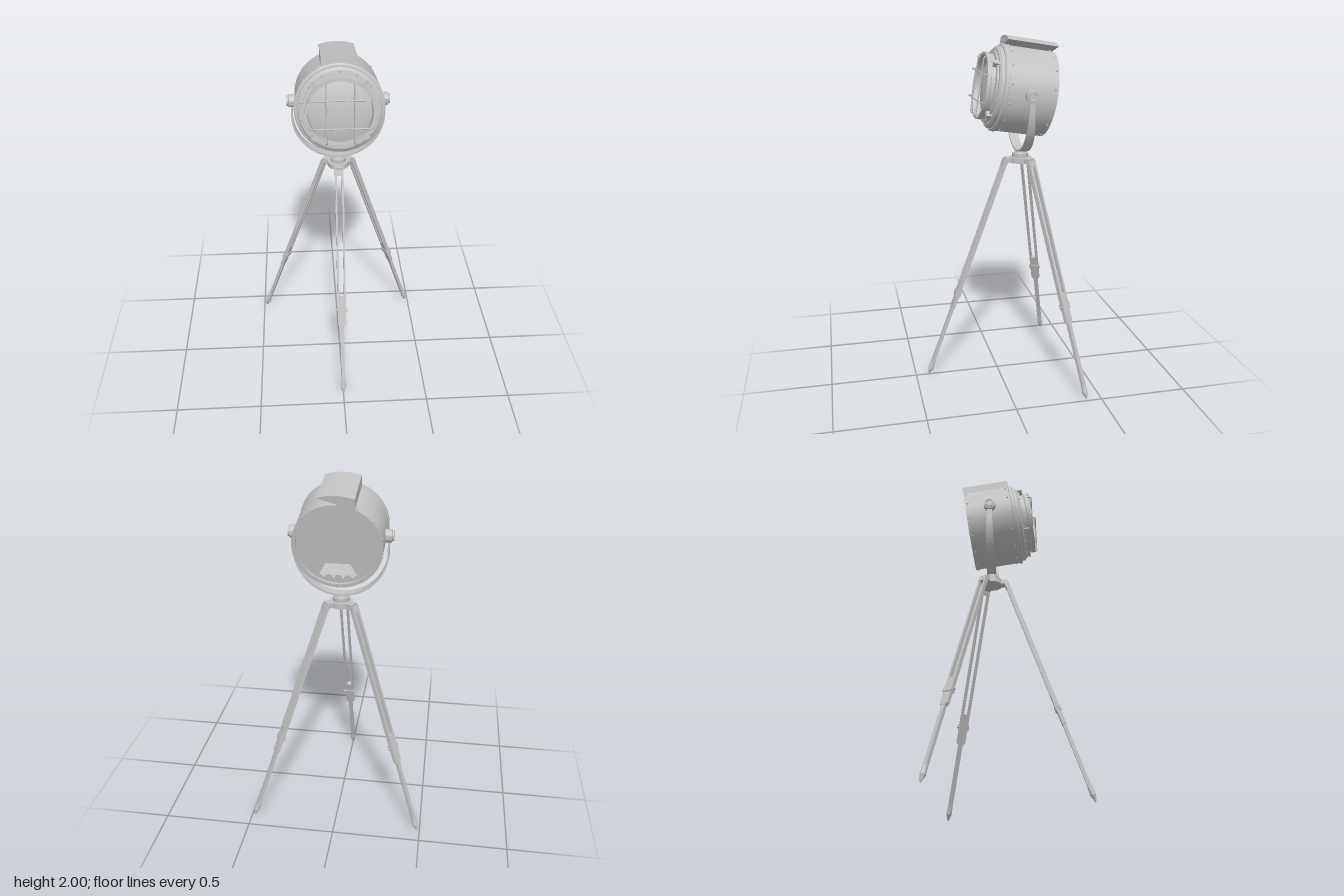
import * as THREE from 'three';
import { toCreasedNormals } from 'three/addons/utils/BufferGeometryUtils.js';

const metal = new THREE.MeshStandardMaterial({ color: 0xc2c2c2, side: THREE.DoubleSide });
metal.name = 'grey metal';

const HUB_Z = -0.135; // vertical axis of the stand

function add(parent, name, geometry, x = 0, y = 0, z = 0) {
  const mesh = new THREE.Mesh(geometry, metal);
  mesh.name = name;
  mesh.position.set(x, y, z);
  parent.add(mesh);
  return mesh;
}

// Lathe whose axis points along +z; points are [radius, z]
function latheZ(points, segments = 64) {
  const g = new THREE.LatheGeometry(points.map(p => new THREE.Vector2(...p)), segments);
  return toCreasedNormals(g.rotateX(Math.PI / 2), 0.5);
}

function createLeg() {
  const leg = new THREE.Group();
  leg.name = 'leg';
  for (const s of [-1, 1]) {
    add(leg, 'upperRail', new THREE.BoxGeometry(0.011, 0.87, 0.024), s * 0.019, 0.958, 0);
  }
  add(leg, 'topBlock', new THREE.BoxGeometry(0.05, 0.035, 0.026), 0, 1.375, 0);
  add(leg, 'slider', new THREE.BoxGeometry(0.036, 0.18, 0.022), 0, 0.537, 0);
  add(leg, 'sliderCheek', new THREE.BoxGeometry(0.049, 0.09, 0.02), 0, 0.50, 0);
  add(leg, 'collar', new THREE.BoxGeometry(0.056, 0.032, 0.032), 0, 0.548, 0);
  const clamp = add(leg, 'clampScrew', new THREE.CylinderGeometry(0.006, 0.006, 0.074, 12), 0, 0.548, 0);
  clamp.rotation.z = Math.PI / 2;
  add(leg, 'lowerLeg', new THREE.BoxGeometry(0.022, 0.42, 0.02), 0, 0.27, 0);
  add(leg, 'footSleeve', new THREE.CylinderGeometry(0.013, 0.016, 0.05, 16), 0, 0.065, 0);
  add(leg, 'footSpike', new THREE.CylinderGeometry(0.016, 0.003, 0.04, 16), 0, 0.02, 0);
  return leg;
}

function createTripod() {
  const tripod = new THREE.Group();
  tripod.name = 'tripod';
  tripod.position.z = HUB_Z;
  for (let i = 0; i < 3; i++) {
    const arm = new THREE.Group();
    arm.name = 'legMount';
    arm.rotation.y = i * Math.PI * 2 / 3;
    const leg = createLeg();
    leg.position.z = 0.56;
    leg.rotation.x = -0.348;
    arm.add(leg);
    add(arm, 'hubLug', new THREE.BoxGeometry(0.05, 0.028, 0.06), 0, 1.307, 0.06);
    tripod.add(arm);
  }
  add(tripod, 'hubPlate', new THREE.CylinderGeometry(0.062, 0.062, 0.03, 32), 0, 1.307, 0);
  add(tripod, 'hubCollar', new THREE.CylinderGeometry(0.045, 0.045, 0.022, 32), 0, 1.333, 0);
  add(tripod, 'hubCap', new THREE.CylinderGeometry(0.03, 0.036, 0.016, 32), 0, 1.35, 0);
  return tripod;
}

function createYoke() {
  const yoke = new THREE.Group();
  yoke.name = 'yoke';
  yoke.position.set(0, 1.7, HUB_Z);

  // U-shaped strap, widening toward the bottom
  const shape = new THREE.Shape();
  shape.moveTo(-0.257, 0);
  shape.lineTo(-0.257, -0.087);
  shape.absarc(0, -0.087, 0.257, Math.PI, Math.PI * 2, false);
  shape.lineTo(0.257, 0);
  shape.lineTo(0.247, 0);
  shape.lineTo(0.247, -0.087);
  shape.absarc(0, -0.087, 0.247, 0, -Math.PI, true);
  shape.lineTo(-0.247, 0);
  const strap = new THREE.ExtrudeGeometry(shape, { depth: 1, bevelEnabled: false, curveSegments: 40 });
  const p = strap.attributes.position;
  for (let i = 0; i < p.count; i++) {
    const width = 0.024 + 0.03 * Math.min(1, -p.getY(i) / 0.3);
    p.setZ(i, (p.getZ(i) - 0.5) * width);
  }
  add(yoke, 'strap', toCreasedNormals(strap, 0.5));

  // Pivot knobs
  for (const s of [-1, 1]) {
    const knob = new THREE.LatheGeometry(
      [[0, 0.225], [0.035, 0.225], [0.035, 0.268], [0.027, 0.27], [0.027, 0.279], [0.019, 0.279], [0.017, 0.274], [0, 0.274]]
        .map(q => new THREE.Vector2(...q)), 32);
    add(yoke, 'pivotKnob', toCreasedNormals(knob, 0.5)).rotation.z = -s * Math.PI / 2;
  }
  return yoke;
}

function createLamp() {
  const lamp = new THREE.Group();
  lamp.name = 'lampHead';
  lamp.position.set(0, 1.695, HUB_Z);
  lamp.rotation.x = -0.157;

  // Drum, stepped front and lens ring
  add(lamp, 'drum', latheZ([
    [0.216, -0.124], [0.216, -0.144], [0.236, -0.144], [0.236, 0.128],
    [0.241, 0.13], [0.241, 0.146], [0.233, 0.152], [0.226, 0.152], [0.226, 0.168],
    [0.214, 0.178], [0.2, 0.18], [0.2, 0.19], [0.178, 0.192], [0.178, 0.212],
    [0.184, 0.215], [0.184, 0.236], [0.17, 0.236], [0.168, 0.185]
  ]));
  add(lamp, 'lens', latheZ([[0.17, 0.188], [0.14, 0.198], [0.1, 0.206], [0.05, 0.211], [0, 0.213]]));

  // Back plate with a scalloped opening near the bottom
  const plate = new THREE.Shape();
  plate.absarc(0, 0, 0.22, 0, Math.PI * 2, false);
  const hole = new THREE.Path();
  hole.moveTo(-0.1, -0.165);
  hole.lineTo(-0.065, -0.1);
  hole.lineTo(0.065, -0.1);
  hole.lineTo(0.1, -0.165);
  hole.lineTo(0.075, -0.185);
  for (const x of [0.05, 0, -0.05]) hole.absarc(x, -0.187, 0.02, 0, Math.PI, false);
  hole.lineTo(-0.075, -0.185);
  hole.closePath();
  plate.holes.push(hole);
  add(lamp, 'backPlate', new THREE.ExtrudeGeometry(plate, { depth: 0.006, bevelEnabled: false, curveSegments: 48 }), 0, 0, -0.13);

  // Arched vent hood on top
  const hood = new THREE.Shape();
  const a = Math.asin(0.095 / 0.287);
  hood.moveTo(0.095, 0.212);
  hood.absarc(0, 0, 0.287, Math.PI / 2 - a, Math.PI / 2 + a, false);
  hood.lineTo(-0.095, 0.212);
  const hoodGeo = new THREE.ExtrudeGeometry(hood, { depth: 0.283, bevelEnabled: false, curveSegments: 20 });
  add(lamp, 'ventHood', toCreasedNormals(hoodGeo, 0.5), 0, 0, -0.147);

  // Rivets around both ends of the drum and screws on the front flange
  const rivet = new THREE.SphereGeometry(0.006, 10, 8);
  for (let i = 0; i < 14; i++) {
    const t = (i + 0.5) * Math.PI * 2 / 14;
    const c = Math.cos(t), s = Math.sin(t);
    for (const z of [-0.128, 0.112]) add(lamp, 'rivet', rivet, c * 0.236, s * 0.236, z);
    add(lamp, 'flangeScrew', rivet, c * 0.207, s * 0.207, 0.18);
  }

  // Clips holding the lens ring
  for (let i = 0; i < 4; i++) {
    const t = Math.PI / 4 + i * Math.PI / 2;
    add(lamp, 'ringClip', new THREE.BoxGeometry(0.035, 0.024, 0.03),
      Math.cos(t) * 0.192, Math.sin(t) * 0.192, 0.194).rotation.z = t;
  }

  // Wire guard: two bars each way with ends bent back onto the ring
  for (const turn of [0, Math.PI / 2]) {
    for (const off of [-0.075, 0.075]) {
      const z = turn ? 0.25 : 0.257;
      const path = new THREE.CurvePath();
      const pts = [[-0.165, 0.228], [-0.165, z - 0.01], [-0.155, z], [0.155, z], [0.165, z - 0.01], [0.165, 0.228]]
        .map(q => new THREE.Vector3(q[0], off, q[1]));
      for (let i = 1; i < pts.length; i++) path.add(new THREE.LineCurve3(pts[i - 1], pts[i]));
      add(lamp, 'guardBar', new THREE.TubeGeometry(path, 60, 0.0038, 8)).rotation.z = turn;
    }
  }
  return lamp;
}

export function createModel() {
  const model = new THREE.Group();
  model.name = 'tripodSearchlight';
  model.add(createTripod(), createYoke(), createLamp());
  return model;
}
